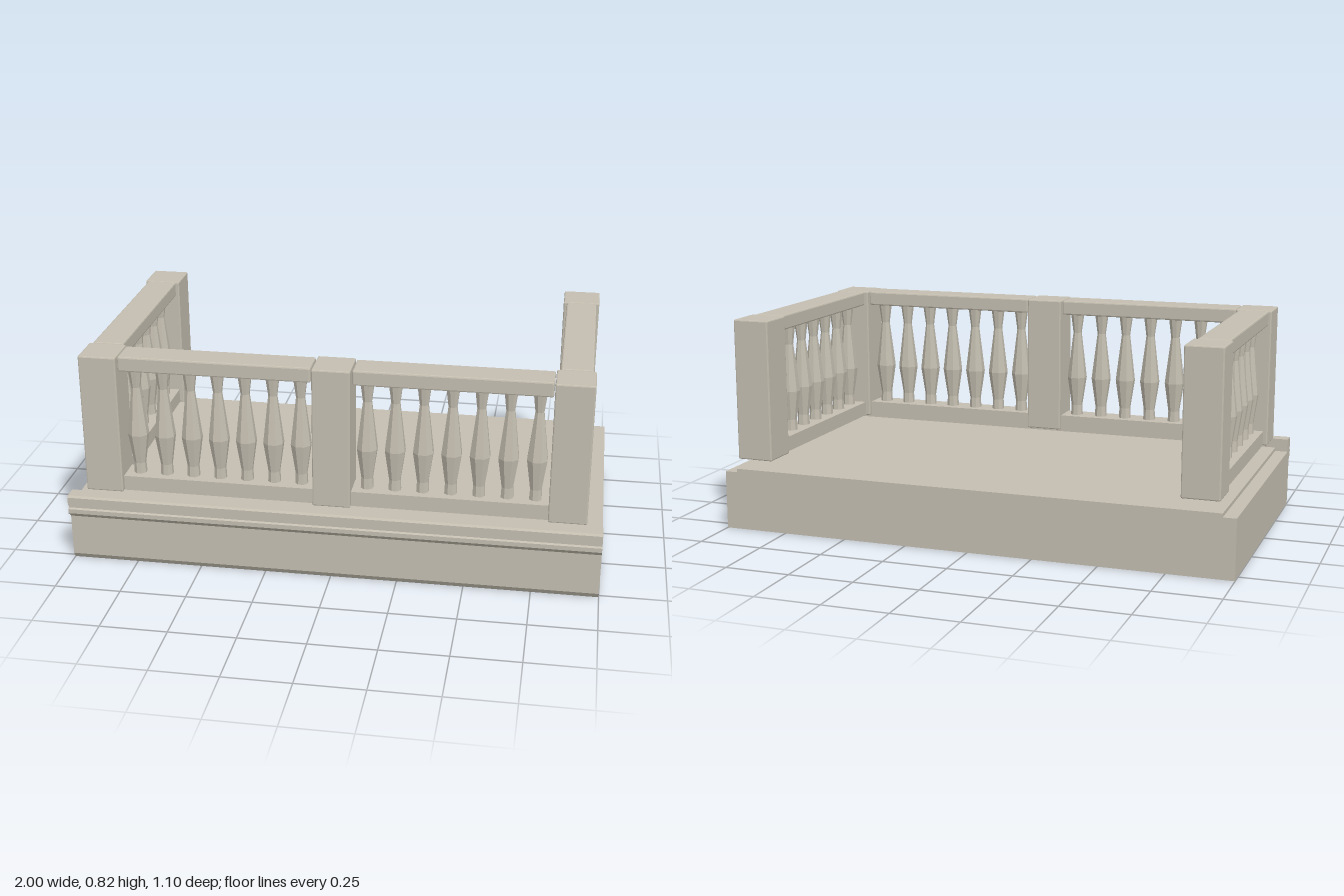
import * as THREE from 'three';
import { RoundedBoxGeometry } from 'three/addons/geometries/RoundedBoxGeometry.js';

export function createModel() {
  const model = new THREE.Group();
  model.name = 'balcony';
  const stone = new THREE.MeshStandardMaterial({ color: 0xc4beb0, flatShading: true });
  stone.name = 'pale stone';

  const add = (parent, name, geometry, x = 0, y = 0, z = 0) => {
    const mesh = new THREE.Mesh(geometry, stone);
    mesh.name = name;
    mesh.position.set(x, y, z);
    parent.add(mesh);
    return mesh;
  };

  // Slab: moulded side profile (z, y) swept across the width
  const profile = [
    [-0.55, 0], [0.513, 0], [0.528, 0.022], [0.528, 0.183], [0.552, 0.205],
    [0.552, 0.222], [0.544, 0.226], [0.544, 0.234], [0.552, 0.238],
    [0.552, 0.27], [0.545, 0.277], [0.493, 0.277], [0.493, 0.226], [-0.55, 0.226],
  ].map(([z, y]) => new THREE.Vector2(z, y));
  const slab = new THREE.ExtrudeGeometry(new THREE.Shape(profile), { depth: 2, bevelEnabled: false });
  slab.rotateY(-Math.PI / 2).translate(1, 0, 0);
  add(model, 'slab', slab);

  // Raised floor, set in from the slab's sides
  add(model, 'floor', new THREE.BoxGeometry(1.9, 0.014, 1.043), 0, 0.233, -0.0285);

  // Posts with softly bevelled edges
  const post = new RoundedBoxGeometry(0.142, 0.542, 0.145, 1, 0.005);
  for (const [x, z] of [[-0.87, 0.418], [0, 0.418], [0.87, 0.418], [-0.87, -0.477], [0.87, -0.477]]) {
    add(model, 'post', post, x, 0.551, z);
  }

  // Eight-sided baluster: half widths (across flats) against height
  const outline = [[0.023, 0.336], [0.021, 0.38], [0.037, 0.497], [0.016, 0.685], [0.026, 0.768]]
    .map(([r, y]) => new THREE.Vector2(r / Math.cos(Math.PI / 8), y));
  const baluster = new THREE.LatheGeometry(outline, 8).rotateY(Math.PI / 8);

  // One run of railing along its own x axis
  const addRailing = (name, length, spacing, x, z, turn) => {
    const run = new THREE.Group();
    run.name = name;
    add(run, 'topRail', new RoundedBoxGeometry(length - 0.006, 0.058, 0.118, 1, 0.006), 0, 0.793, 0);
    add(run, 'bottomRail', new THREE.BoxGeometry(length + 0.004, 0.058, 0.105), 0, 0.309, 0);
    for (let i = -3; i <= 3; i++) add(run, 'baluster', baluster, i * spacing, 0, 0);
    run.position.set(x, 0, z);
    run.rotation.y = turn;
    model.add(run);
  };
  for (const side of [-1, 1]) {
    addRailing('frontRailing', 0.726, 0.104, side * 0.436, 0.417, 0);
    addRailing('sideRailing', 0.75, 0.107, side * 0.871, -0.031, Math.PI / 2);
  }
  return model;
}
